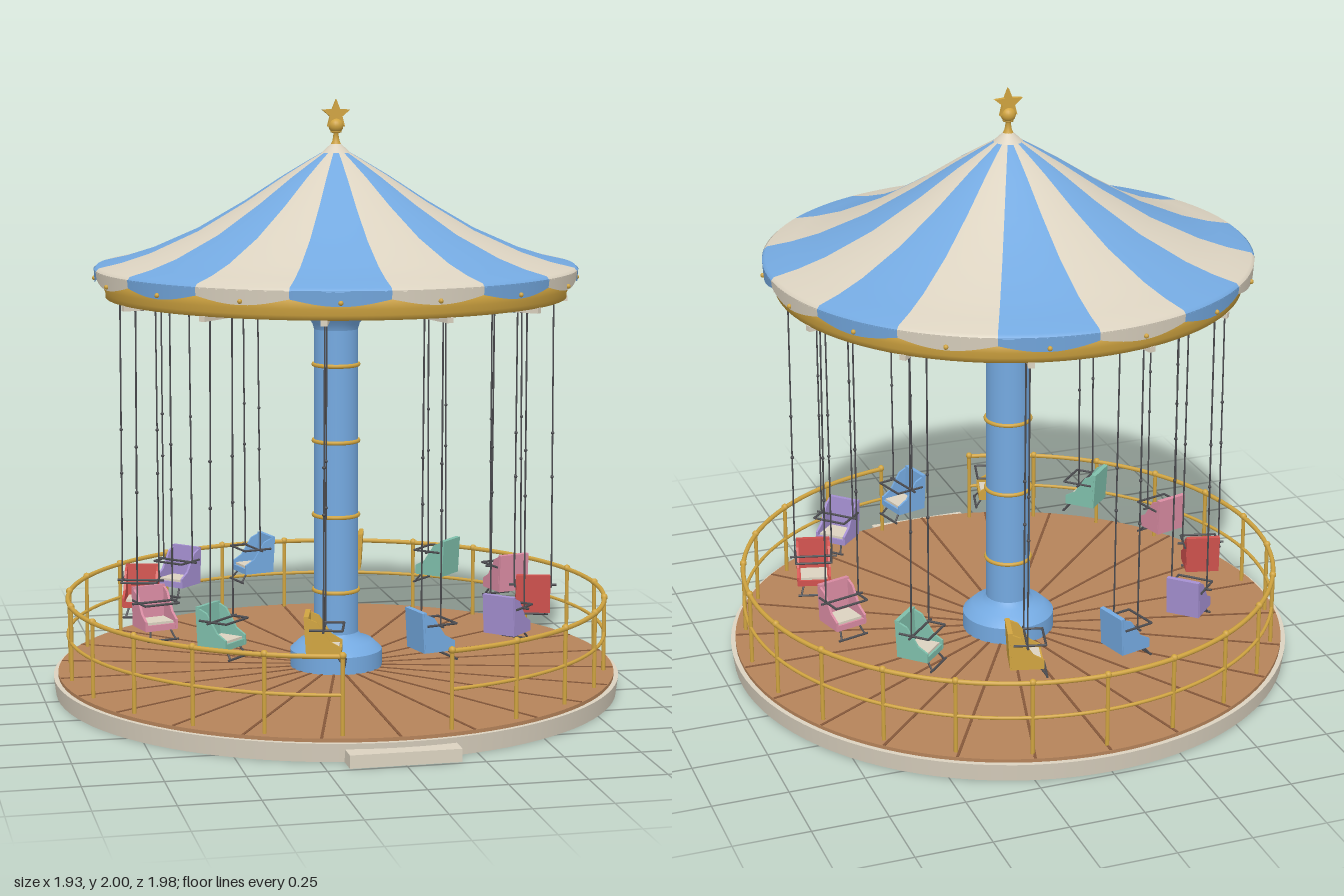
import * as THREE from 'three';

const mat = (name, color, side = THREE.FrontSide) =>
  Object.assign(new THREE.MeshStandardMaterial({ color, side }), { name });

export function createModel() {
  const M = {
    cream: mat('cream', 0xdbd2c0, THREE.DoubleSide),
    blue: mat('blue', 0x74a9e0, THREE.DoubleSide),
    gold: mat('gold', 0xd0a440),
    wood: mat('wood', 0xb5835a),
    seam: mat('dark wood', 0x85583a),
    steel: mat('dark steel', 0x4c4c50),
    red: mat('red', 0xd0524e),
    pink: mat('pink', 0xd98ba2),
    teal: mat('teal', 0x7fbfab),
    purple: mat('purple', 0xa48fd0),
  };
  const model = new THREE.Group();
  model.name = 'swingCarousel';
  const ride = new THREE.Group();
  ride.name = 'ride';
  ride.position.z = -0.026;
  model.add(ride);

  const add = (parent, name, geo, material, x = 0, y = 0, z = 0) => {
    const m = new THREE.Mesh(geo, material);
    m.name = name;
    m.position.set(x, y, z);
    parent.add(m);
    return m;
  };
  const cyl = (rt, rb, h, n = 24) => new THREE.CylinderGeometry(rt, rb, h, n);
  const box = (x, y, z) => new THREE.BoxGeometry(x, y, z);
  const lathe = (pts, n = 48, start = 0, len = Math.PI * 2) =>
    new THREE.LatheGeometry(pts.map(p => new THREE.Vector2(...p)), n, start, len);
  // thin rod between two points
  const rod = (parent, name, a, b, r, material) => {
    const A = new THREE.Vector3(...a), B = new THREE.Vector3(...b), d = B.clone().sub(A);
    const m = add(parent, name, cyl(r, r, d.length(), 8), material);
    m.position.copy(A).add(B).multiplyScalar(0.5);
    m.quaternion.setFromUnitVectors(new THREE.Vector3(0, 1, 0), d.normalize());
    return m;
  };
  // group turned about the axis, with its own +z pointing outwards
  const spoke = (name, angle) => {
    const g = new THREE.Group();
    g.name = name;
    g.rotation.y = angle;
    ride.add(g);
    return g;
  };

  // platform, deck and entrance step
  add(ride, 'platformBase', cyl(0.963, 0.955, 0.06, 96), M.cream, 0, 0.03);
  add(ride, 'deck', cyl(0.947, 0.947, 0.012, 96), M.wood, 0, 0.066);
  for (let i = 0; i < 24; i++)
    add(spoke('deckSeam', i * Math.PI / 12), 'seam', box(0.009, 0.003, 0.8), M.seam, 0, 0.0725, 0.545);
  add(model, 'entranceStep', box(0.355, 0.042, 0.12), M.cream, 0, 0.021, 0.928);

  // fence with a gap at the front
  const gap = 0.192, R = 0.912, arc = Math.PI * 2 - gap * 2;
  for (const [y, r] of [[0.322, 0.008], [0.2, 0.006]])
    add(ride, 'fenceRail', new THREE.TorusGeometry(R, r, 8, 110, arc)
      .rotateZ(Math.PI / 2 + gap).rotateX(Math.PI / 2), M.gold, 0, y);
  for (let i = 0; i <= 22; i++) {
    const p = spoke('fencePost', gap + arc * i / 22);
    add(p, 'post', cyl(0.007, 0.007, 0.25, 8), M.gold, 0, 0.197, R);
    add(p, 'postCap', new THREE.SphereGeometry(0.012, 10, 8), M.gold, 0, 0.325, R);
  }

  // centre column with flared foot and head
  add(ride, 'columnFoot', lathe([[0.157, 0.07], [0.157, 0.13]]), M.blue);
  add(ride, 'columnFootTaper', lathe([[0.157, 0.13], [0.125, 0.16], [0.09, 0.17], [0.076, 0.19]]), M.blue);
  add(ride, 'column', cyl(0.074, 0.076, 1.06, 48), M.blue, 0, 0.71);
  add(ride, 'columnHead', lathe([[0.074, 1.23], [0.08, 1.25], [0.1, 1.275]]), M.blue);
  for (const y of [0.335, 0.595, 0.85, 1.11])
    add(ride, 'columnRing', new THREE.TorusGeometry(0.076, 0.007, 8, 40).rotateX(Math.PI / 2), M.gold, 0, y);
  add(ride, 'capital', cyl(0.118, 0.108, 0.025, 40), M.cream, 0, 1.285);
  add(ride, 'capitalRing', new THREE.TorusGeometry(0.113, 0.006, 8, 40).rotateX(Math.PI / 2), M.gold, 0, 1.298);
  add(ride, 'hub', cyl(0.105, 0.105, 0.065, 40), M.cream, 0, 1.325);
  add(ride, 'mast', cyl(0.025, 0.045, 0.47, 24), M.blue, 0, 1.59);

  // striped canopy with scalloped valance
  const profile = [[0.81, 1.437], [0.8, 1.449], [0.72, 1.467], [0.625, 1.497], [0.466, 1.567],
    [0.307, 1.66], [0.175, 1.746], [0.09, 1.797], [0.012, 1.842]];
  const step = Math.PI / 8;
  for (let i = 0; i < 16; i++) {
    const color = i % 2 ? M.blue : M.cream;
    add(ride, 'canopyStripe', lathe(profile, 8, i * step, step), color);
    const v = new THREE.CylinderGeometry(0.81, 0.807, 0.03, 12, 1, true, i * step, step);
    const p = v.attributes.position;
    for (let k = 0; k < p.count; k++)
      if (p.getY(k) < 0) {
        const t = (Math.atan2(p.getX(k), p.getZ(k)) + Math.PI * 2) / step - i;
        p.setY(k, -0.012 - 0.022 * Math.abs(Math.sin(t * Math.PI)));
      }
    add(ride, 'valanceScallop', v, color, 0, 1.425);
    add(spoke('valanceStud', (i + 0.5) * step), 'stud',
      new THREE.SphereGeometry(0.008, 10, 8), M.gold, 0, 1.403, 0.81);
  }
  add(ride, 'canopyCap', cyl(0.012, 0.05, 0.035, 32), M.cream, 0, 1.837);
  add(ride, 'canopyRim', lathe([[0.75, 1.345], [0.772, 1.345], [0.772, 1.36], [0.78, 1.38],
    [0.78, 1.42], [0.75, 1.42], [0.75, 1.345]], 96), M.gold);

  // finial with star
  add(ride, 'finialStem', lathe([[0.022, 1.84], [0.012, 1.86], [0.008, 1.885], [0.018, 1.888],
    [0.018, 1.894], [0.008, 1.898], [0.008, 1.92]], 20), M.gold);
  add(ride, 'finialBall', new THREE.SphereGeometry(0.025, 20, 14), M.gold, 0, 1.91);
  const star = new THREE.Shape(Array.from({ length: 10 }, (_, i) => {
    const r = i % 2 ? 0.022 : 0.05, a = Math.PI / 2 + i * Math.PI / 5;
    return new THREE.Vector2(r * Math.cos(a), r * Math.sin(a));
  }));
  add(ride, 'star', new THREE.ExtrudeGeometry(star, { depth: 0.016, bevelEnabled: false }), M.gold, 0, 1.948, -0.008);

  // arms with hanging seats, facing along the direction of travel
  const seatColors = [M.blue, M.purple, M.red, M.pink, M.teal, M.gold];
  const sideShape = new THREE.Shape([[-0.055, 0.275], [0.05, 0.275], [0.05, 0.305], [0.015, 0.325],
    [-0.025, 0.385], [-0.06, 0.4]].map(p => new THREE.Vector2(...p)));
  const sideGeo = new THREE.ExtrudeGeometry(sideShape, { depth: 0.008, bevelEnabled: false });
  for (let k = 0; k < 12; k++) {
    const arm = spoke('swingArm', Math.PI / 12 + k * Math.PI / 6), color = seatColors[k % 6];
    add(arm, 'roofArm', box(0.022, 0.018, 0.7), M.cream, 0, 1.337, 0.425);
    const seat = new THREE.Group();
    seat.name = 'swingSeat';
    seat.position.z = 0.67;
    arm.add(seat);
    add(seat, 'seatPan', box(0.105, 0.02, 0.112), color, -0.003, 0.282);
    add(seat, 'seatBack', box(0.016, 0.13, 0.114), color, -0.056, 0.338).rotation.z = 0.06;
    add(seat, 'seatCushion', box(0.08, 0.008, 0.09), M.cream, 0.002, 0.296);
    rod(seat, 'hangerBar', [0, 1.332, -0.065], [0, 1.332, 0.065], 0.006, M.steel);
    rod(seat, 'lapBar', [0.055, 0.36, -0.06], [0.055, 0.36, 0.06], 0.004, M.steel);
    rod(seat, 'crossBar', [-0.005, 0.358, -0.08], [-0.005, 0.358, 0.08], 0.004, M.steel);
    rod(seat, 'footBar', [0.06, 0.242, -0.055], [0.06, 0.242, 0.055], 0.004, M.steel);
    for (const s of [-1, 1]) {
      add(seat, 'seatSide', sideGeo, color, 0, 0, s * 0.054 - 0.004);
      rod(seat, 'chain', [0, 1.335, s * 0.06], [-0.005, 0.358, s * 0.063], 0.0028, M.steel);
      for (const y of [0.73, 0.88])
        add(seat, 'chainLink', new THREE.SphereGeometry(0.006, 8, 6), M.steel, -0.003, y, s * 0.0615);
      rod(seat, 'armRest', [-0.05, 0.36, s * 0.06], [0.055, 0.36, s * 0.06], 0.004, M.steel);
      rod(seat, 'footStrut', [0.035, 0.275, s * 0.035], [0.06, 0.242, s * 0.045], 0.0035, M.steel);
    }
  }
  return model;
}
